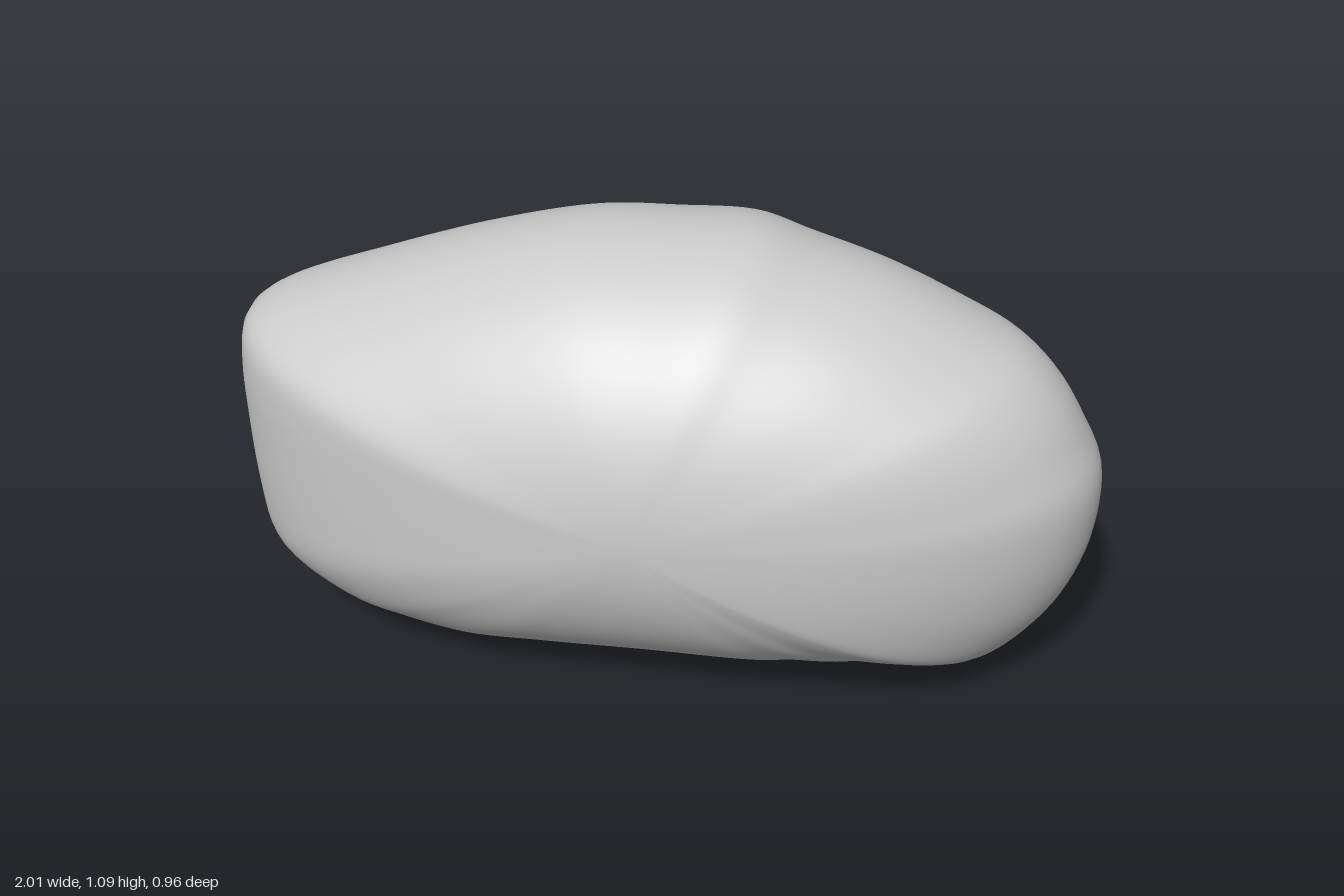
import * as THREE from 'three';
import { mergeVertices } from 'three/addons/utils/BufferGeometryUtils.js';

const CENTRE_Y = 0.54, HALF_DEPTH = 0.48;

// Side outline, counter-clockwise as seen from the front
const OUTLINE = [
  [1, 0.57], [0.96, 0.66], [0.9, 0.76], [0.82, 0.84], [0.7, 0.905], [0.52, 0.985], [0.33, 1.045],
  [0.2, 1.085], [0, 1.08], [-0.2, 1.065], [-0.45, 1.0], [-0.7, 0.91], [-0.95, 0.805], [-0.985, 0.77],
  [-1, 0.68], [-1, 0.55], [-0.99, 0.35], [-0.97, 0.22], [-0.93, 0.16], [-0.8, 0.07], [-0.7, 0.04],
  [-0.52, 0.005], [-0.3, 0.008], [0, 0.02], [0.33, 0.03], [0.42, 0.045], [0.54, 0.055], [0.6, 0.068],
  [0.74, 0.075], [0.82, 0.09], [0.92, 0.2], [0.97, 0.3], [1, 0.42],
];

// Inflate an outline: slices shrink towards the centre along an elliptical arc in z
function inflate(points, segments, rows) {
  const curve = new THREE.CatmullRomCurve3(
    points.map(([x, y]) => new THREE.Vector3(x, y - CENTRE_Y, 0)), true, 'centripetal');
  const ring = curve.getSpacedPoints(segments).slice(0, segments);
  const positions = [], index = [];
  for (let j = 0; j <= rows; j++) {
    const t = Math.PI * (j / rows - 0.5);
    const scale = j === 0 || j === rows ? 0 : Math.cos(t);
    for (const p of ring) positions.push(p.x * scale, CENTRE_Y + p.y * scale, HALF_DEPTH * Math.sin(t));
  }
  for (let j = 0; j < rows; j++) {
    for (let i = 0; i < segments; i++) {
      const k = (i + 1) % segments;
      const a = j * segments + i, b = j * segments + k;
      const c = a + segments, d = b + segments;
      if (j > 0) index.push(a, b, c);
      if (j < rows - 1) index.push(b, d, c);
      // the end rows collapse to a point, so each needs one triangle per segment
    }
  }
  let geometry = new THREE.BufferGeometry();
  geometry.setAttribute('position', new THREE.Float32BufferAttribute(positions, 3));
  geometry.setIndex(index);
  geometry = mergeVertices(geometry, 1e-5);
  geometry.computeVertexNormals();
  return geometry;
}

export function createModel() {
  const model = new THREE.Group();
  model.name = 'inflatedBody';
  const body = new THREE.Mesh(inflate(OUTLINE, 180, 72), new THREE.MeshStandardMaterial({ color: 0xcccccc }));
  body.name = 'body';
  model.add(body);
  return model;
}
